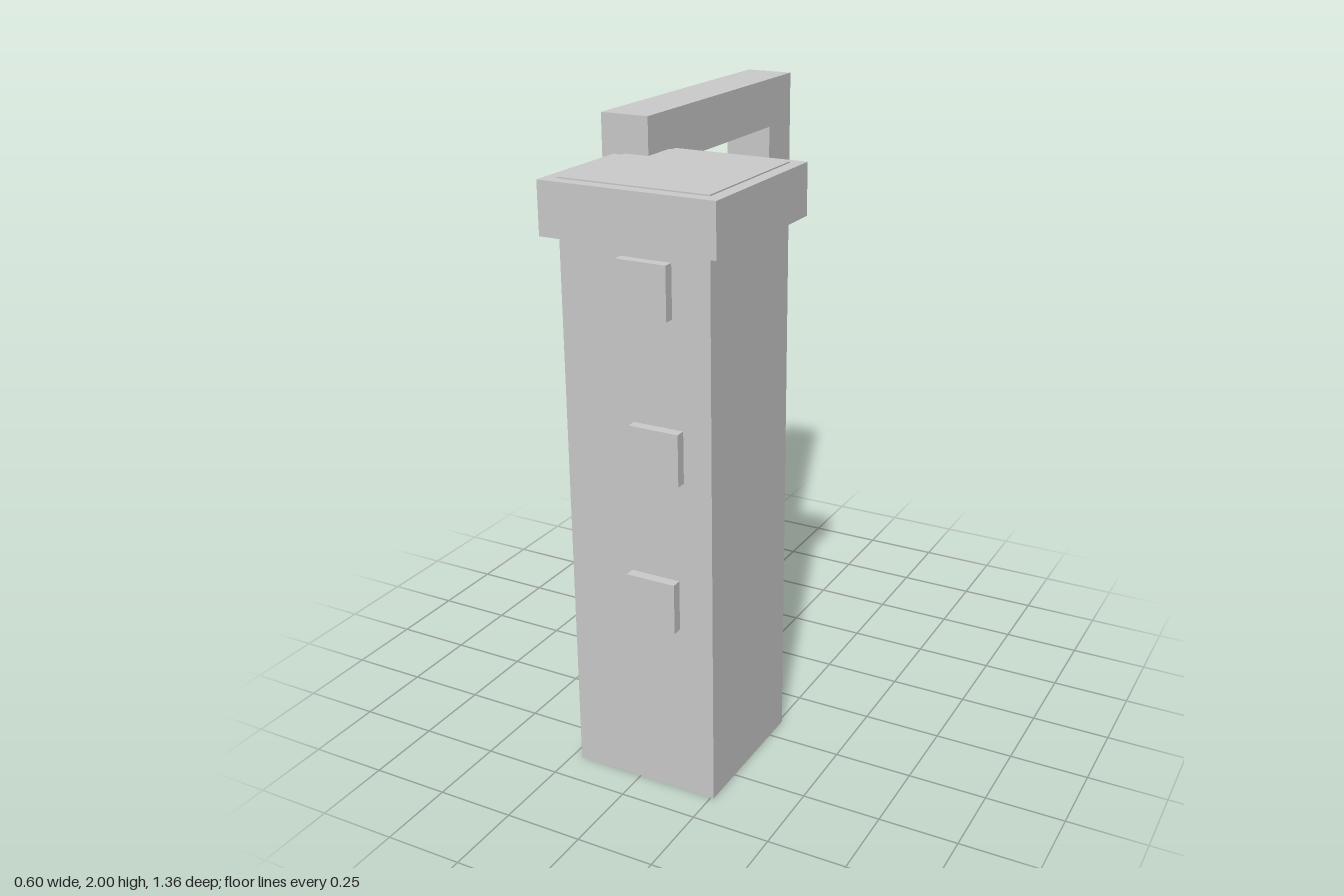
import * as THREE from 'three';

const material = new THREE.MeshStandardMaterial({ color: 0xcccccc, flatShading: true });

// Box given by its min and max corners
function block(name, [x0, y0, z0], [x1, y1, z1]) {
  const mesh = new THREE.Mesh(new THREE.BoxGeometry(x1 - x0, y1 - y0, z1 - z0), material);
  mesh.position.set((x0 + x1) / 2, (y0 + y1) / 2, (z0 + z1) / 2);
  mesh.name = name;
  return mesh;
}

// Rectangular ring in the z-y plane, extruded along x
function ring(name, x0, x1, z0, z1, y0, y1, bar) {
  const rect = (T, a, b, c, d) => new T([[a, c], [b, c], [b, d], [a, d]].map(([u, v]) => new THREE.Vector2(u, v)));
  // shape u is -z so that a quarter turn about y maps it upright
  const shape = rect(THREE.Shape, -z1, -z0, y0, y1);
  shape.holes.push(rect(THREE.Path, -z1 + bar, -z0 - bar, y0 + bar, y1 - bar));
  const geometry = new THREE.ExtrudeGeometry(shape, { depth: x1 - x0, bevelEnabled: false });
  geometry.rotateY(Math.PI / 2);
  geometry.translate(x0, 0, 0);
  const mesh = new THREE.Mesh(geometry, material);
  mesh.name = name;
  return mesh;
}

export function createModel() {
  const model = new THREE.Group();
  model.name = 'pillarWithFrame';

  // Square pillar, its top just proud of the cap
  model.add(block('pillar', [-0.22, 0, 0.16], [0.26, 1.884, 0.64]));

  // Overhanging cap
  model.add(block('cap', [-0.26, 1.72, 0.12], [0.30, 1.88, 0.68]));

  // Square studs on the front, slightly staggered
  const studs = [[0.06, 1.605], [0.09, 1.12], [0.07, 0.643]];
  studs.forEach(([x, y], i) => {
    model.add(block(`stud${i + 1}`, [x - 0.08, y - 0.08, 0.6], [x + 0.08, y + 0.08, 0.672]));
  });

  // Tall open frame behind, set into the pillar's right side
  model.add(ring('frame', -0.30, -0.14, -0.68, 0.28, 0.24, 2.0, 0.16));

  return model;
}
